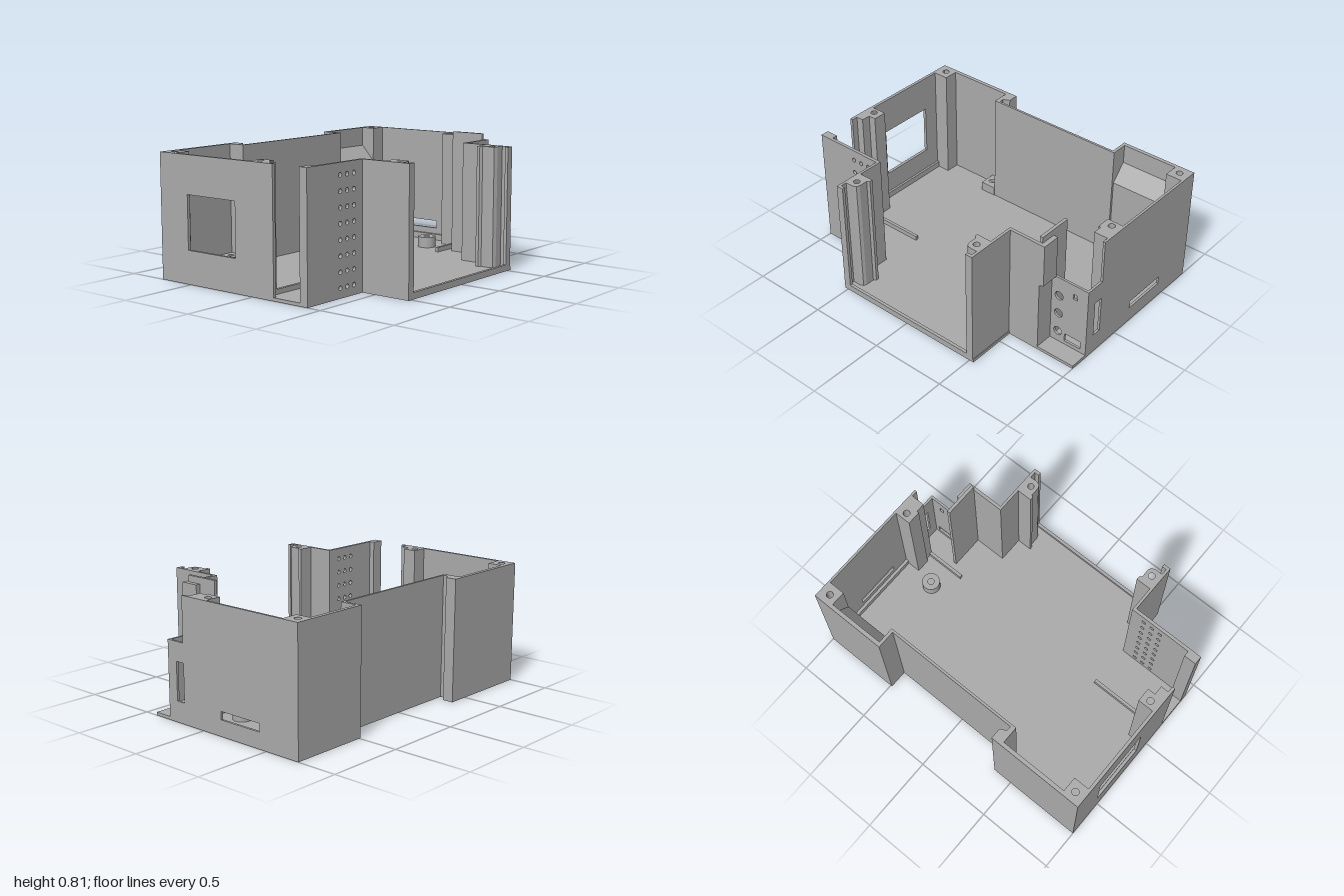
import * as THREE from 'three';

const grey = new THREE.MeshStandardMaterial({ color: 0xaaaaaa });
grey.name = 'plasticGrey';

const TOP = 0.77, FLOOR = 0.02;

// Closed outline from [a, b] points, with holes given as point lists or [a, b, radius] circles
function outline(pts, holes = []) {
  const v = (list) => list.map(([a, b]) => new THREE.Vector2(a, b));
  const s = new THREE.Shape(v(pts));
  for (const h of holes) {
    const p = new THREE.Path();
    if (typeof h[0] === 'number') p.absarc(h[0], h[1], h[2], 0, Math.PI * 2, true);
    else p.setFromPoints(v(h)).closePath();
    s.holes.push(p);
  }
  return s;
}

const rect = (a0, b0, a1, b1) => [[a0, b0], [a1, b0], [a1, b1], [a0, b1]];

export function createModel() {
  const model = new THREE.Group();
  model.name = 'deviceEnclosure';

  function add(name, geometry) {
    const m = new THREE.Mesh(geometry, grey);
    m.name = name;
    model.add(m);
  }
  const extrude = (shape, depth) =>
    new THREE.ExtrudeGeometry(shape, { depth, bevelEnabled: false, curveSegments: 10 });

  // Upright prism from a plan outline in [x, z]
  function prism(name, pts, y0, y1, holes = []) {
    const s = outline(pts.map(([x, z]) => [x, -z]), holes.map(([x, z, r]) => [x, -z, r]));
    add(name, extrude(s, y1 - y0).rotateX(-Math.PI / 2).translate(0, y0, 0));
  }
  // Box given by its plan rectangle and heights
  const block = (name, x0, z0, x1, z1, y0 = 0, y1 = TOP, holes = []) =>
    prism(name, rect(x0, z0, x1, z1), y0, y1, holes);
  // Wall facing z, outline in [x, y]
  const wallZ = (name, pts, z0, z1, holes) =>
    add(name, extrude(outline(pts, holes), z1 - z0).translate(0, 0, z0));
  // Wall facing x, outline in [-z, y]
  const wallX = (name, pts, x0, x1, holes) =>
    add(name, extrude(outline(pts, holes), x1 - x0).rotateY(Math.PI / 2).translate(x0, 0, 0));

  // Floor plate
  prism('floor', [
    [-0.74, -1], [0.41, -1], [0.41, -0.53], [0.74, -0.53], [0.74, 0.52], [0.41, 0.52],
    [0.41, 1], [-0.74, 1], [-0.74, 0.37], [-0.67, 0.37], [-0.65, 0.41], [-0.62, 0.41],
    [-0.62, -0.49], [-0.74, -0.49],
  ], 0, FLOOR);

  // Front wall with its window; a tall gap separates it from the corner column
  wallZ('frontWall', rect(-0.74, 0, 0.16, TOP), 0.98, 1, [rect(-0.515, 0.205, -0.13, 0.535)]);
  prism('frontCornerColumn',
    [[0.355, 0.92], [0.41, 0.92], [0.41, 1], [0.355, 1]], 0, TOP);

  // Back wall, lowered at its end, with two connector slots
  wallZ('backWall',
    [[-0.74, 0], [0.29, 0], [0.29, 0.49], [0.16, 0.49], [0.16, TOP], [-0.74, TOP]], -1, -0.985,
    [rect(-0.45, 0.1, -0.145, 0.15), rect(0.16, 0.13, 0.22, 0.37)]);

  // Right side walls, stepping inward in the middle
  block('rightBackWall', -0.74, -1, -0.715, -0.49);
  block('rightBackReturn', -0.74, -0.51, -0.605, -0.49);
  block('rightMiddleWall', -0.62, -0.51, -0.605, 0.44);
  prism('rightFrontReturn', [
    [-0.74, 0.37], [-0.67, 0.37], [-0.65, 0.41], [-0.605, 0.41], [-0.605, 0.44], [-0.74, 0.44],
  ], 0, TOP);
  block('rightFrontWall', -0.74, 0.37, -0.715, 1);

  // Sloping fill beside the back corner post
  wallZ('slopedPocket', [[-0.72, 0], [-0.62, 0], [-0.62, 0.54], [-0.72, 0.65]], -0.89, -0.5);

  // Vented wall at the left front: three columns of eight holes
  const vents = [];
  for (const z of [0.6, 0.66, 0.72])
    for (let i = 0; i < 8; i++) vents.push([-z, 0.06 + i * 0.0915, 0.014]);
  wallX('ventedWall', rect(-1, 0, -0.52, TOP), 0.39, 0.41, vents);

  // Left back wall, its upper end overhanging the recess
  wallX('leftBackWall',
    [[0.515, 0], [0.73, 0], [0.73, 0.47], [0.76, 0.49], [0.77, 0.49], [0.77, TOP], [0.515, TOP]],
    0.39, 0.41);
  block('recessLintel', 0.29, -0.77, 0.41, -0.735, 0.49, TOP);

  // Raised partition plate
  wallZ('partitionPlate', [
    [0.165, 0], [0.41, 0], [0.41, TOP], [0.39, TOP], [0.39, 0.81], [0.165, 0.81],
  ], -0.74, -0.72);

  // Recessed connector panel
  wallX('connectorPanel',
    [[0.73, FLOOR], [1, FLOOR], [1, 0.49], [0.76, 0.49], [0.73, 0.465]], 0.275, 0.29,
    [[0.795, 0.36, 0.029], [0.795, 0.23, 0.029], [0.795, 0.095, 0.029],
      rect(0.895, 0.39, 0.925, 0.425), rect(0.845, 0.045, 0.96, 0.1)]);

  // Front and back halves: posts, ribs and ledges
  for (const s of [-1, 1]) {
    const end = s < 0 ? 'back' : 'front';
    const flip = (pts) => pts.map(([x, z]) => [x, z * s]);
    prism(end + 'CornerPost', flip(rect(-0.74, 0.88, -0.62, 1)), 0, TOP, [[-0.68, 0.935 * s, 0.021]]);
    const step = s < 0 ? 0.895 : 0.93;
    prism(end + 'MiddlePost', flip([
      [-0.03, 0.985], [-0.03, 0.88], [0.06, 0.88], [0.06, step], [0.12, step], [0.12, 0.985],
    ]), 0, TOP, [[0.01, 0.935 * s, 0.021]]);
    prism(end + 'FloorLedge', flip(rect(-0.62, 0.965, -0.03, 0.99)), 0, 0.06);
    prism(end + 'FloorRib', flip(rect(0.1, s < 0 ? 0.63 : 0.5, 0.12, 0.94)), 0, 0.05);

    // Left bay: end wall, edge rail and contoured screw column
    prism(end + 'BayWall', flip(rect(0.39, 0.508, 0.74, 0.525)), 0, TOP);
    prism(end + 'BayRail', flip(rect(0.72, 0.478, 0.74, 0.525)), 0, TOP);
    prism(end + 'BayColumn', flip([
      [0.56, 0.515], [0.56, 0.41], [0.58, 0.41], [0.592, 0.425], [0.65, 0.425],
      [0.67, 0.433], [0.68, 0.455], [0.68, 0.515],
    ]), 0, TOP, [[0.632, 0.467 * s, 0.02]]);
  }
  block('baySill', 0.72, -0.52, 0.74, 0.52, 0, 0.04);

  // Mounting block and round boss on the floor
  block('mountingBlock', -0.72, 0.44, -0.6, 0.55, 0, 0.08, [[-0.655, 0.505, 0.021]]);
  const ring = Array.from({ length: 32 }, (_, i) => {
    const a = (i / 32) * Math.PI * 2;
    return [-0.055 + 0.058 * Math.cos(a), -0.745 + 0.058 * Math.sin(a)];
  });
  prism('screwBoss', ring, 0, 0.09, [[-0.055, -0.745, 0.021]]);

  return model;
}
